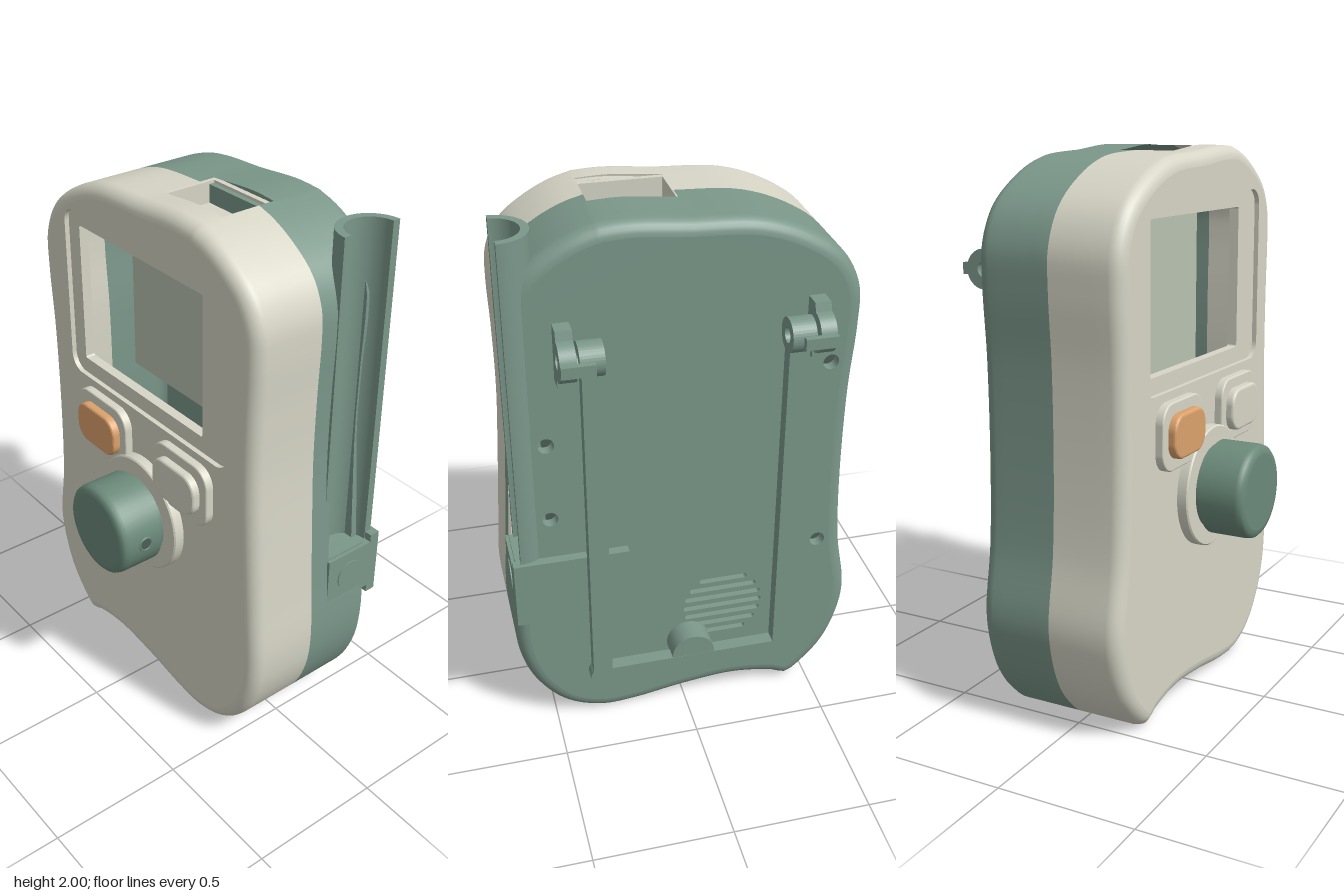
import * as THREE from 'three';

const mat = (color) => new THREE.MeshStandardMaterial({ color, side: THREE.DoubleSide });
const cream = mat(0xd6d5c6), teal = mat(0x7b978a), knobTeal = mat(0x6b8a7a);
const orange = mat(0xdca26c), glass = mat(0xb9c2b0), dark = mat(0x4c5e55);

const FRONT = 0.24, BACK = -0.31, SEAM = -0.03, R = 0.05;
const TUBE = { x: 0.6, z: -0.212, outer: 0.118, inner: 0.09 };

// Wavy hand-held outline, counter-clockwise from the top
const outlinePoints = [
  [0.2, 2], [0, 1.985], [-0.25, 1.965], [-0.42, 1.9], [-0.54, 1.81], [-0.6, 1.69], [-0.605, 1.55],
  [-0.59, 1.3], [-0.59, 0.92], [-0.605, 0.65], [-0.64, 0.42], [-0.625, 0.3], [-0.58, 0.175],
  [-0.51, 0.08], [-0.42, 0.01], [-0.355, 0.033], [-0.2, 0.058], [0, 0.042], [0.2, 0.01], [0.33, 0.008],
  [0.46, 0.06], [0.56, 0.17], [0.615, 0.3], [0.633, 0.44], [0.62, 0.68], [0.603, 0.95], [0.59, 1.2],
  [0.59, 1.45], [0.595, 1.65], [0.588, 1.75], [0.54, 1.85], [0.44, 1.93], [0.32, 1.985],
].map(([x, y]) => new THREE.Vector3(x, y, 0));

function makeOutline() {
  const pts = new THREE.CatmullRomCurve3(outlinePoints, true).getSpacedPoints(180).slice(0, -1);
  // line samples up with the ends of the top slot
  for (const sx of [-0.02, 0.28]) {
    const top = pts.filter((p) => p.y > 1.9);
    top.sort((a, b) => Math.abs(a.x - sx) - Math.abs(b.x - sx));
    top[0].x = sx;
  }
  return pts;
}
const outline = makeOutline();
const N = outline.length;

function inset(d) {
  return outline.map((p, i) => {
    const a = outline[(i + N - 2) % N], b = outline[(i + 2) % N];
    const t = new THREE.Vector2(b.x - a.x, b.y - a.y).normalize();
    return new THREE.Vector2(p.x - t.y * d, p.y + t.x * d);
  });
}

// Side wall lofted through [z, inset] rows, left open at the slot and the pen channel
function wall(rows) {
  const pos = [], idx = [];
  for (const [z, d] of rows) for (const p of inset(d)) pos.push(p.x, p.y, z);
  for (let j = 0; j < rows.length - 1; j++) {
    for (let i = 0; i < N; i++) {
      const k = (i + 1) % N, a = j * N + i, b = j * N + k;
      const x = (pos[a * 3] + pos[b * 3]) / 2, y = (pos[a * 3 + 1] + pos[b * 3 + 1]) / 2;
      const z = (rows[j][0] + rows[j + 1][0]) / 2;
      if (y > 1.9 && x > -0.02 && x < 0.28 && z < 0.12 && z > -0.09) continue;
      if (y > 0.75 && Math.hypot(x - TUBE.x, z - TUBE.z) < 0.108) continue;
      idx.push(a, a + N, b, b, a + N, b + N);
    }
  }
  const g = new THREE.BufferGeometry();
  g.setAttribute('position', new THREE.Float32BufferAttribute(pos, 3));
  g.setIndex(idx);
  g.computeVertexNormals();
  return g;
}

function roundRect(x0, x1, y0, y1, r, Type = THREE.Shape) {
  const s = new Type();
  s.absarc(x1 - r, y0 + r, r, -Math.PI / 2, 0);
  s.absarc(x1 - r, y1 - r, r, 0, Math.PI / 2);
  s.absarc(x0 + r, y1 - r, r, Math.PI / 2, Math.PI);
  s.absarc(x0 + r, y0 + r, r, Math.PI, Math.PI * 1.5);
  s.closePath();
  return s;
}
const circle = (x, y, r) => new THREE.Path().absarc(x, y, r, 0, Math.PI * 2);

export function createModel() {
  const model = new THREE.Group();
  const add = (name, geo, material, x = 0, y = 0, z = 0) => {
    const m = new THREE.Mesh(geo, material);
    m.name = name;
    m.position.set(x, y, z);
    model.add(m);
    return m;
  };
  // extrusion from z0 to z1, with an optional rounded front edge
  const slab = (name, shape, z0, z1, material, bevel = 0) =>
    add(name, new THREE.ExtrudeGeometry(shape, {
      depth: z1 - z0 - bevel, curveSegments: 16, bevelEnabled: bevel > 0, bevelSize: bevel,
      bevelThickness: bevel, bevelOffset: -bevel, bevelSegments: 3,
    }), material, 0, 0, z0);
  const box = (name, x0, x1, y0, y1, z0, z1, material) =>
    add(name, new THREE.BoxGeometry(x1 - x0, y1 - y0, z1 - z0), material,
      (x0 + x1) / 2, (y0 + y1) / 2, (z0 + z1) / 2);

  // Two-part shell
  const arc = [0, 1, 2, 3, 4, 5, 6].map((i) => (i / 6) * Math.PI / 2);
  const frontRows = arc.map((a) => [FRONT - R + R * Math.cos(a), R * (1 - Math.sin(a))]);
  const backRows = arc.map((a) => [BACK + R - R * Math.sin(a), R * (1 - Math.cos(a))]);
  add('frontShellWall', wall([...frontRows, [0.12, 0], [SEAM, 0]]), cream);
  const straight = [SEAM, -0.09, -0.11, -0.13, -0.16, -0.19, -0.22].map((z) => [z, 0]);
  add('backShellWall', wall([...straight, ...backRows]), teal);

  // Front face with recessed screen bezel
  const face = new THREE.Shape(inset(R));
  face.holes.push(roundRect(-0.445, 0.465, 1.19, 1.835, 0.06, THREE.Path));
  slab('frontFace', face, FRONT - 0.03, FRONT, cream);
  const bezel = roundRect(-0.445, 0.465, 1.19, 1.835, 0.06);
  bezel.holes.push(roundRect(-0.38, 0.315, 1.25, 1.775, 0.008, THREE.Path));
  slab('screenBezel', bezel, 0.185, 0.222, cream);
  box('screen', -0.38, 0.42, 1.15, 1.84, -0.03, 0, glass);

  // Back face with screw holes and a round speaker grille
  const back = new THREE.Shape(inset(R));
  for (const [x, y] of [[0.485, 1.24], [0.485, 0.94], [-0.505, 1.43], [-0.505, 0.68]]) {
    back.holes.push(circle(x, y, 0.028));
    add('screwSeat', new THREE.CircleGeometry(0.035, 20), dark, x, y, BACK + 0.042);
  }
  for (let i = -3; i <= 3; i++) {
    const w = Math.sqrt(0.15 ** 2 - (i * 0.04) ** 2), y = 0.44 + i * 0.04;
    back.holes.push(roundRect(-0.145 - w, -0.145 + w, y - 0.01, y + 0.01, 0.0099, THREE.Path));
  }
  slab('backFace', back, BACK, BACK + 0.04, teal);

  // Slot in the top
  const rim = roundRect(-0.04, 0.3, -0.14, 0.11, 0.002);
  rim.holes.push(roundRect(-0.02, 0.28, -0.12, 0.09, 0.002, THREE.Path));
  const slot = slab('slotWall', rim, 0, 0.085, cream);
  slot.rotation.x = -Math.PI / 2;
  slot.position.set(0, 1.89, 0);
  box('slotFloor', -0.03, 0.29, 1.88, 1.9, -0.1, 0.13, cream);
  box('slotLedge', -0.02, 0.28, 1.9, 1.965, -0.09, -0.07, teal);

  // Two buttons on raised pads
  for (const [name, x, material] of [['orangeButton', -0.224, orange], ['paleButton', 0.244, cream]]) {
    slab(name + 'Pad', roundRect(x - 0.153, x + 0.153, 0.92, 1.16, 0.07), 0.23, 0.27, cream, 0.006);
    slab(name, roundRect(x - 0.117, x + 0.117, 0.962, 1.12, 0.06), 0.25, 0.3, material, 0.01);
  }

  // Dial: flat collar, neck and knob with a set screw on its side
  const lathe = (name, pts, material) => {
    const m = add(name, new THREE.LatheGeometry(pts.map((p) => new THREE.Vector2(...p)), 48), material, 0.01, 0.79, 0);
    m.rotation.x = Math.PI / 2;
  };
  lathe('dialCollar', [[0.223, 0.23], [0.223, 0.275], [0.223, 0.275], [0.218, 0.28], [0.218, 0.28], [0, 0.28]], cream);
  lathe('knob', [[0.155, 0.27], [0.155, 0.3], [0.155, 0.3], [0.172, 0.3], [0.172, 0.3], [0.172, 0.36],
    [0.172, 0.435], [0.168, 0.452], [0.157, 0.462], [0.14, 0.465], [0.14, 0.465], [0, 0.465]], knobTeal);
  const ring = add('setScrewRing', new THREE.TorusGeometry(0.025, 0.004, 8, 24), knobTeal, 0.181, 0.79, 0.37);
  const screw = add('setScrew', new THREE.CircleGeometry(0.021, 20), dark, 0.183, 0.79, 0.37);
  ring.rotation.y = screw.rotation.y = Math.PI / 2;

  // Pen channel, open towards the side
  const channel = new THREE.Shape();
  channel.absarc(TUBE.x, -TUBE.z, TUBE.outer, Math.PI / 2, Math.PI * 1.5, false);
  channel.absarc(TUBE.x, -TUBE.z, TUBE.inner, Math.PI * 1.5, Math.PI / 2, true);
  channel.closePath();
  const tube = add('penChannel', new THREE.ExtrudeGeometry(channel,
    { depth: 1.26, bevelEnabled: false, curveSegments: 32 }), teal, 0, 0.72, 0);
  tube.rotation.x = -Math.PI / 2;

  // Pen holder at the foot of the channel
  box('penStop', 0.5, 0.628, 0.55, 0.75, -0.315, -0.105, teal);
  const stop = add('penStopPlug', new THREE.CylinderGeometry(0.058, 0.058, 0.01, 32), teal, 0.627, 0.65, -0.21);
  stop.rotation.z = Math.PI / 2;
  box('holderPlate', 0.215, 0.628, 0.52, 0.78, -0.345, -0.305, teal);

  // Folding stand and its hinges, mirrored about x = cx
  const cx = -0.01, hy = 1.59, hz = -0.378;
  const ear = new THREE.Shape();
  ear.moveTo(0.305, hy - 0.1);
  ear.lineTo(0.37, hy - 0.1);
  ear.lineTo(0.37, hy - 0.07);
  ear.absarc(-hz, hy, 0.07, -Math.PI / 2, -0.3, false);
  ear.lineTo(0.465, hy - 0.02);
  ear.lineTo(0.465, hy + 0.02);
  ear.absarc(-hz, hy, 0.07, 0.3, Math.PI / 2, false);
  ear.lineTo(0.37, hy + 0.1);
  ear.lineTo(0.305, hy + 0.1);
  ear.holes.push(circle(-hz, hy, 0.027));
  const barrel = new THREE.Shape().absarc(0, 0, 0.06, 0, Math.PI * 2);
  barrel.holes.push(circle(0, 0, 0.027));
  for (const s of [-1, 1]) {
    const e = add('hingeEar', new THREE.ExtrudeGeometry(ear, { depth: 0.055, bevelEnabled: false }), teal,
      cx + s * 0.4265 - 0.0275);
    // shape x runs backwards (-z), extrusion runs along x
    e.rotation.y = Math.PI / 2;
    box('hingeTab', cx + s * 0.398 - 0.056, cx + s * 0.398 + 0.056, hy - 0.02, hy + 0.02, -0.465, -0.442, teal);
    const b = add('standBarrel', new THREE.ExtrudeGeometry(barrel, { depth: 0.082, bevelEnabled: false, curveSegments: 20 }),
      teal, cx + s * 0.348 - 0.041, hy, hz);
    b.rotation.y = Math.PI / 2;
    box('standLeg', cx + s * 0.345 - 0.035, cx + s * 0.345 + 0.035, 0.26, hy - 0.04, -0.402, -0.352, teal);
    const c = add('standCorner', new THREE.CylinderGeometry(0.046, 0.046, 0.05, 24), teal, cx + s * 0.345, 0.262, -0.377);
    c.rotation.x = Math.PI / 2;
  }
  box('standCrossbar', cx - 0.345, cx + 0.345, 0.225, 0.295, -0.402, -0.352, teal);
  const clip = add('standClip', new THREE.CylinderGeometry(0.08, 0.08, 0.092, 32), teal, cx, 0.3, -0.355);
  clip.rotation.x = Math.PI / 2;

  return model;
}
